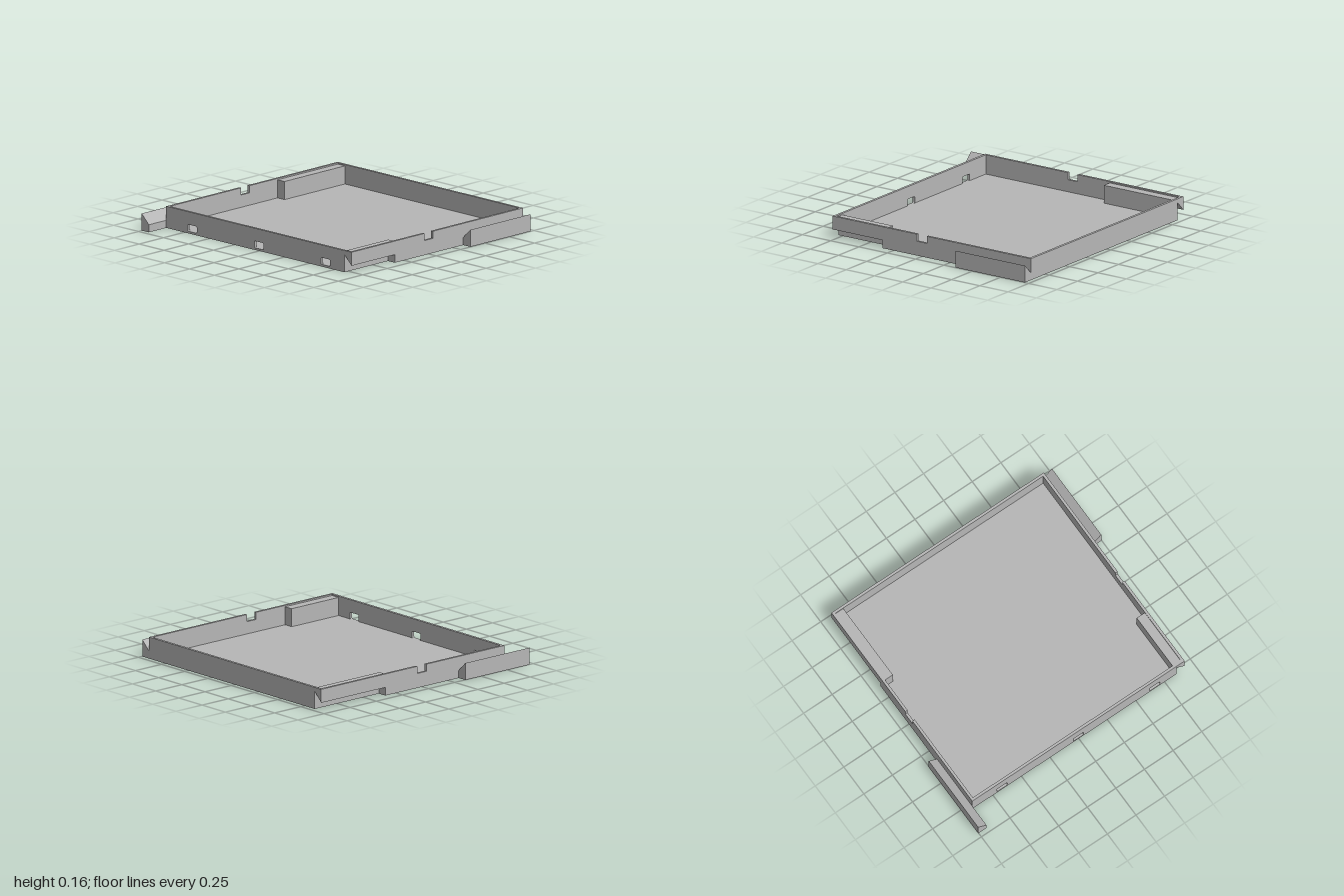
import * as THREE from 'three';

const H = 0.16, FLOOR = 0.016;         // wall height, floor thickness
const LEFT = -0.931, RIGHT = 0.925;    // outer faces of the tray
const BACK = -0.965, FRONT = 0.788;
const T = 0.02;                        // wall thickness
const END = 0.965;                     // tip of the overhanging rail
const flip = (pts) => pts.map(([x, y]) => [LEFT + RIGHT - x, y]);

const shapeOf = (pts) => new THREE.Shape(pts.map(([x, y]) => new THREE.Vector2(x, y)));
const extrude = (shape, depth) =>
  new THREE.ExtrudeGeometry(shape, { depth, bevelEnabled: false, curveSegments: 4 });

// Rounded window outline
function slot(cx, cy, w, h, r) {
  const p = new THREE.Path(), a = w / 2, b = h / 2;
  p.moveTo(cx - a + r, cy - b);
  p.lineTo(cx + a - r, cy - b);
  p.quadraticCurveTo(cx + a, cy - b, cx + a, cy - b + r);
  p.lineTo(cx + a, cy + b - r);
  p.quadraticCurveTo(cx + a, cy + b, cx + a - r, cy + b);
  p.lineTo(cx - a + r, cy + b);
  p.quadraticCurveTo(cx - a, cy + b, cx - a, cy + b - r);
  p.lineTo(cx - a, cy - b + r);
  p.quadraticCurveTo(cx - a, cy - b, cx - a + r, cy - b);
  return p;
}

export function createModel() {
  const model = new THREE.Group();
  model.name = 'interlockingTray';
  const grey = new THREE.MeshStandardMaterial({ color: 0xb6b6b6 });
  grey.name = 'plain grey';

  const add = (name, geometry) => {
    const mesh = new THREE.Mesh(geometry, grey);
    mesh.name = name;
    model.add(mesh);
    return mesh;
  };
  // Profile in x,y pulled along z
  const alongZ = (name, shape, z0, z1) => add(name, extrude(shape, z1 - z0).translate(0, 0, z0));

  // Floor, cut back around the two socket housings
  const floor = shapeOf([
    [-0.841, BACK + T], [RIGHT - T, BACK + T], [RIGHT - T, 0.32], [0.835, 0.32],
    [0.835, FRONT - T], [LEFT + T, FRONT - T], [LEFT + T, -0.328], [-0.841, -0.328],
  ]);
  add('floor', extrude(floor, FLOOR).rotateX(Math.PI / 2).translate(0, FLOOR, 0));

  // End walls: each has an undercut socket mouth at one corner
  const endWall = [
    [LEFT, 0], [0.855, 0], [0.855, 0.13], [RIGHT, 0.06], [RIGHT, H], [LEFT, H],
  ];
  const front = shapeOf(endWall);
  for (const x of [-0.67, -0.003, 0.665]) front.holes.push(slot(x, 0.041, 0.09, 0.05, 0.008));
  alongZ('frontWall', front, FRONT - T, FRONT);
  alongZ('backWall', shapeOf(flip(endWall)), BACK, BACK + T);

  // Plain stretches of the side walls, notched at the middle
  const sideWall = (name, outerX, z0, z1) => {
    const s = shapeOf([
      [z0, 0], [z1, 0], [z1, H], [0.042, H], [0.042, 0.107],
      [-0.045, 0.107], [-0.045, H], [z0, H],
    ]);
    add(name, extrude(s, T).rotateY(-Math.PI / 2).translate(outerX, 0, 0));
  };
  sideWall('leftSideWall', RIGHT, BACK + T, 0.345);
  sideWall('rightSideWall', LEFT + T, -0.352, FRONT - T);

  // Socket housings: side wall and inner box around a slanted groove
  const housing = [
    [0.835, 0], [0.855, 0], [0.855, 0.13], [RIGHT, 0.06], [RIGHT, H],
    [RIGHT - T, H], [RIGHT - T, 0.15], [0.835, 0.15],
  ];
  const cap = [[0.835, 0], [RIGHT - T, 0], [RIGHT - T, 0.15], [0.835, 0.15]];
  alongZ('leftSocket', shapeOf(housing), 0.345, FRONT - T);
  alongZ('leftSocketEnd', shapeOf(cap), 0.32, 0.345);
  alongZ('rightSocket', shapeOf(flip(housing)), BACK + T, -0.352);
  alongZ('rightSocketEnd', shapeOf(flip(cap)), -0.352, -0.328);

  // Slanted rails that slide into a neighbouring socket
  const rail = [[RIGHT, 0], [0.997, 0], [0.997, 0.126], [RIGHT, 0.056]];
  alongZ('leftRail', shapeOf(rail), BACK, -0.352);
  alongZ('rightRail', shapeOf(flip(rail)), 0.349, END);

  return model;
}
